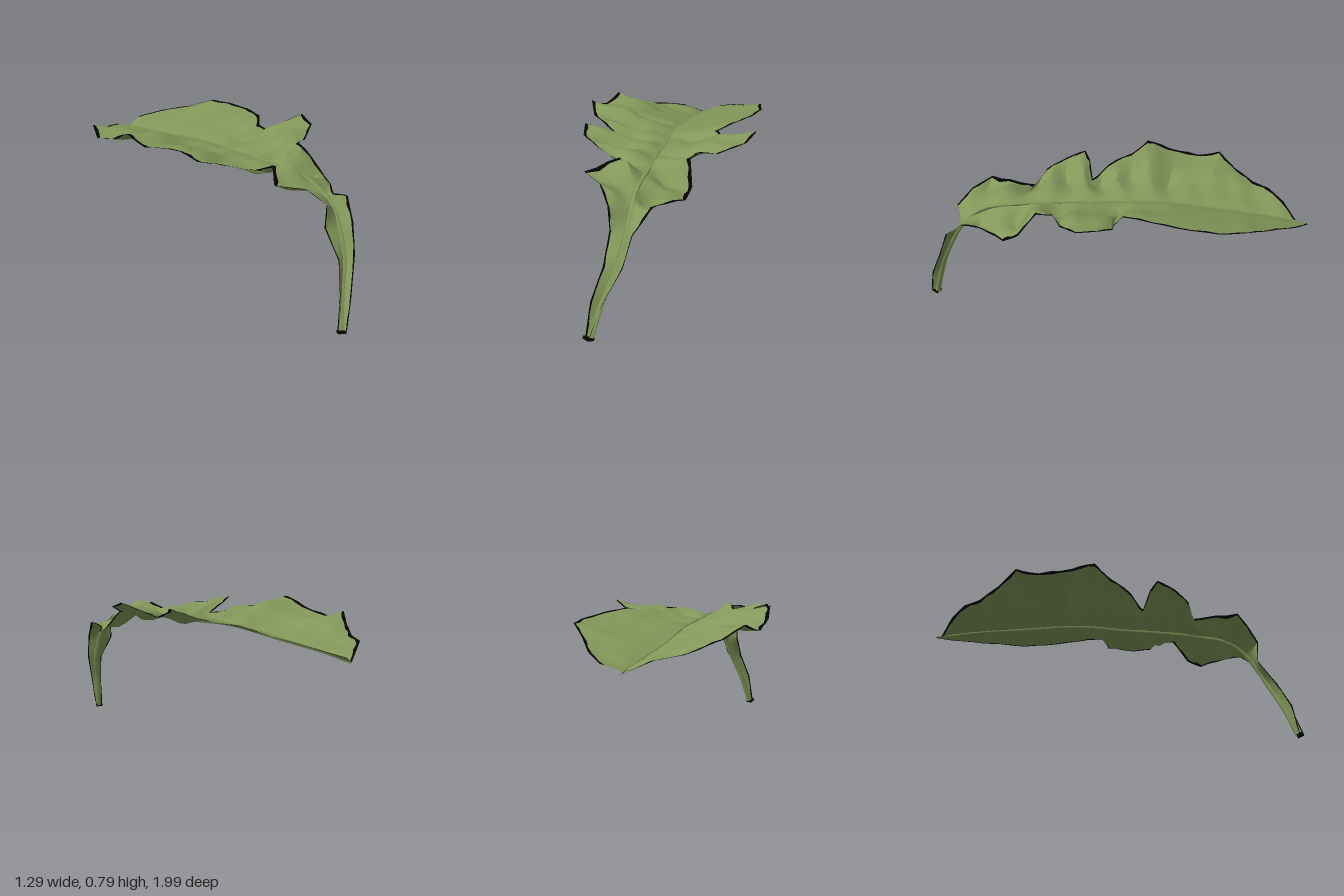
import * as THREE from 'three';
import { toCreasedNormals } from 'three/addons/utils/BufferGeometryUtils.js';

const V = (x, y, z) => new THREE.Vector3(x, y, z);
const { smoothstep } = THREE.MathUtils;

// Midrib from the stem foot up over the bend to the leaf tip
const spine = new THREE.CatmullRomCurve3([
  V(.565, .015, .96), V(.578, .2, .89), V(.598, .36, .81), V(.565, .56, .7), V(.5, .65, .6), V(.4, .68, .42),
  V(.26, .675, .22), V(.12, .665, 0), V(-.02, .655, -.2), V(-.2, .6, -.5), V(-.33, .56, -.75), V(-.41, .525, -.92),
]);

// Leaf margins: [station on the midrib 0..11, x, y, z]
const outerMargin = [
  [0, .54, .01, .975], [1, .55, .2, .945], [2, .555, .36, .865], [2.5, .5, .5, .77], [3, .5, .63, .78],
  [3.3, .4, .7, .74], [3.6, .25, .72, .71], [4.2, .28, .74, .5], [4.7, .2, .71, .45], [5.1, .05, .73, .46],
  [5.5, -.1, .75, .42], [5.8, -.18, .775, .34], [6.1, -.13, .75, .28], [6.4, -.02, .7, .2], [6.7, -.18, .72, .18],
  [7.1, -.36, .74, .12], [7.5, -.45, .8, .06], [8, -.53, .74, -.04], [8.4, -.62, .69, -.2], [8.8, -.645, .73, -.33],
  [9.2, -.61, .66, -.45], [9.5, -.575, .62, -.58], [9.8, -.575, .6, -.68], [10.4, -.5, .58, -.8], [11, -.4, .515, -.93],
];
const innerMargin = [
  [0, .585, .03, .99], [1, .61, .18, .94], [2, .65, .37, .825], [2.8, .65, .52, .76], [3.3, .65, .61, .64],
  [3.8, .6, .6, .55], [4.3, .63, .57, .38], [4.8, .6, .62, .3], [5.2, .52, .72, .23], [5.6, .5, .74, .14],
  [6, .56, .72, .06], [6.3, .63, .765, -.08], [6.6, .6, .795, -.2], [6.9, .48, .74, -.21], [7.2, .4, .7, -.17],
  [7.5, .34, .73, -.19], [8, .36, .76, -.3], [8.6, .32, .745, -.5], [9.2, .24, .725, -.7], [9.7, .14, .715, -.82],
  [10, 0, .665, -.87], [10.5, -.2, .61, -.97], [11, -.34, .565, -1],
];

// Crumpled height of the blade
function crumple(x, z) {
  const fold = Math.abs(((x * 2.3 + z * 4.1 + .2 * Math.sin(x * 9)) % 1 + 1) % 1 - .5) - .25;
  return .09 * fold + .016 * Math.sin(x * 17 - z * 9) + .012 * Math.sin(z * 31 + x * 12);
}

// One half of the blade: strips from midrib to margin with a ragged dark rim;
// the folds calm down between the stations calmFrom and calmTo
function halfBlade({ name, margin, flip, rim, calmFrom, calmTo }, materials) {
  const rows = [], sub = 3, cols = 8;
  for (let i = 0; i < margin.length - 1; i++)
    for (let s = 0; s < sub; s++) rows.push(margin[i].map((a, c) => a + (margin[i + 1][c] - a) * s / sub));
  rows.push(margin[margin.length - 1]);

  const pos = [], green = [], dark = [];
  rows.forEach(([station, x, y, z], r) => {
    const root = spine.getPoint(station / 11), edge = V(x, y, z);
    const onBlade = smoothstep(station, 2.4, 4);
    const width = rim * (.4 + .6 * onBlade) * (1 + .3 * Math.sin(r * 2.4));
    const inset = 1 - Math.min(.35, width / root.distanceTo(edge));
    const folds = onBlade * (1 - .8 * smoothstep(station, calmFrom, calmTo));
    const dome = 1 - .2 * smoothstep(station, 6.5, 8.5);
    for (let c = 0; c <= cols; c++) {
      const v = c === cols ? 1 : inset * c / (cols - 1);
      const p = root.clone().lerp(edge, v);
      p.y = root.y + (edge.y - root.y) * v ** dome + folds * crumple(p.x, p.z) * Math.sin(Math.PI * Math.min(v, .93));
      pos.push(p.x, p.y, p.z);
    }
  });
  for (let r = 0; r < rows.length - 1; r++)
    for (let c = 0; c < cols; c++) {
      const a = r * (cols + 1) + c, b = a + 1, d = a + cols + 1, e = d + 1;
      (c === cols - 1 ? dark : green).push(...(flip ? [a, d, b, b, d, e] : [a, b, d, b, e, d]));
    }
  const geo = new THREE.BufferGeometry();
  geo.setAttribute('position', new THREE.Float32BufferAttribute(pos, 3));
  geo.setIndex([...green, ...dark]);
  geo.addGroup(0, green.length, 0);
  geo.addGroup(green.length, dark.length, 1);
  const mesh = new THREE.Mesh(toCreasedNormals(geo, .6), materials);
  mesh.name = name;
  return mesh;
}

export function createModel() {
  const group = new THREE.Group();
  const leafGreen = new THREE.MeshStandardMaterial({ color: 0x83985a, side: THREE.DoubleSide });
  leafGreen.name = 'leaf green';
  const rimBlack = new THREE.MeshStandardMaterial({ color: 0x040503, side: THREE.DoubleSide });
  rimBlack.name = 'rim black';

  const skins = [leafGreen, rimBlack];
  group.add(
    halfBlade({ name: 'outerBladeHalf', margin: outerMargin, flip: true, rim: .021, calmFrom: 9, calmTo: 10 }, skins),
    halfBlade({ name: 'innerBladeHalf', margin: innerMargin, flip: false, rim: .018, calmFrom: 7.4, calmTo: 8.6 }, skins),
  );

  // Midrib, a five-sided tube tapering towards the tip
  const segs = 48, sides = 5, ribGeo = new THREE.TubeGeometry(spine, segs, .016, sides);
  const p = ribGeo.attributes.position, v = V(0, 0, 0);
  for (let i = 0; i < p.count; i++) {
    const t = Math.floor(i / (sides + 1)) / segs, centre = spine.getPointAt(t);
    v.fromBufferAttribute(p, i).sub(centre).multiplyScalar(1 - .65 * t).add(centre);
    p.setXYZ(i, v.x, Math.max(0, v.y), v.z);
  }
  ribGeo.computeVertexNormals();
  const rib = new THREE.Mesh(ribGeo, leafGreen);
  rib.name = 'midrib';

  // Dark cut end of the stem, tilted with it
  const cut = new THREE.Mesh(new THREE.BoxGeometry(.04, .014, .04), rimBlack);
  cut.position.set(.562, .015, .972);
  cut.rotation.x = -.35;
  cut.name = 'stemCut';

  group.add(rib, cut);
  return group;
}
